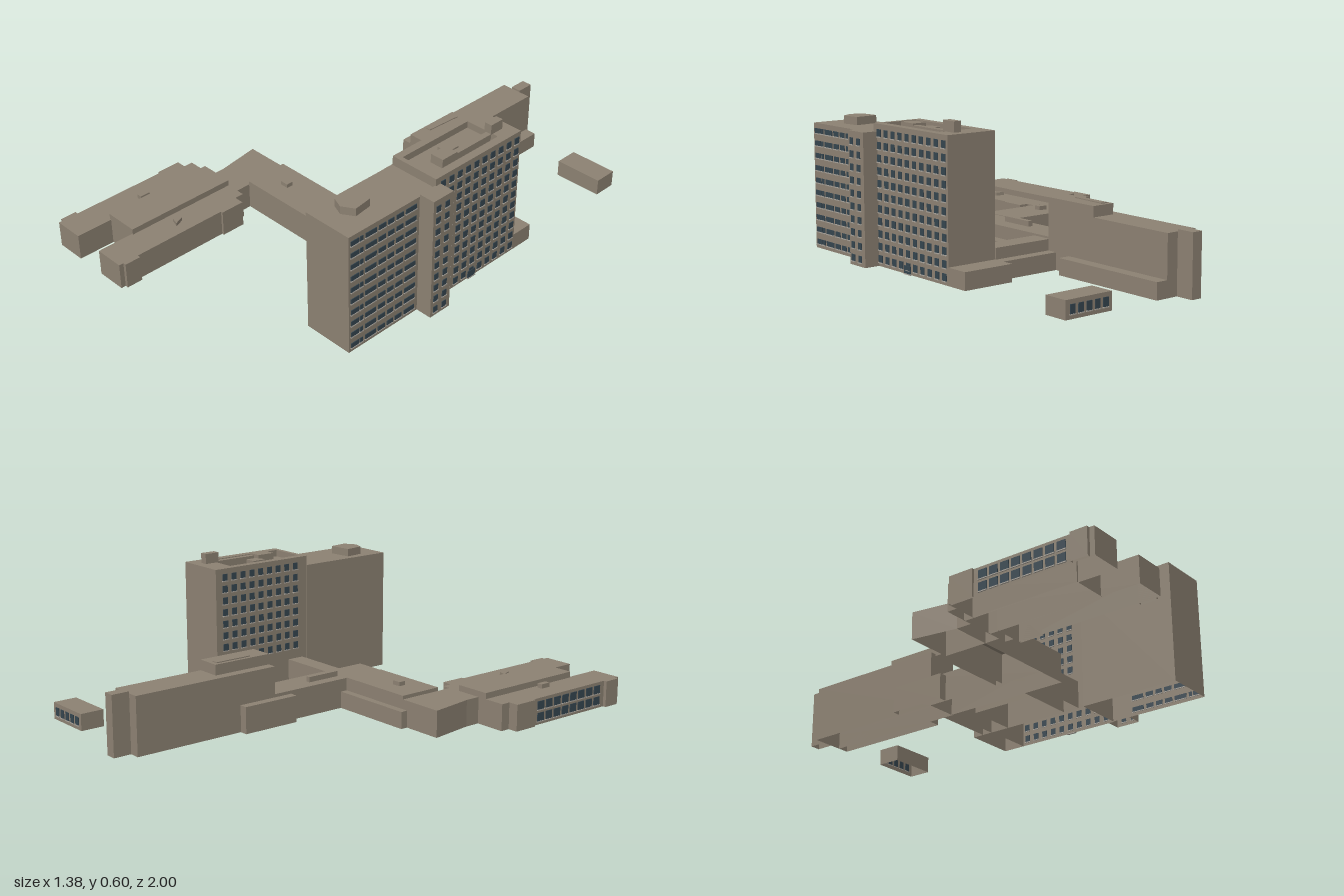
import * as THREE from 'three';
import { mergeGeometries } from 'three/addons/utils/BufferGeometryUtils.js';

const wallMat = new THREE.MeshStandardMaterial({ color: 0x8c8172, side: THREE.DoubleSide });
const glassMat = new THREE.MeshStandardMaterial({ color: 0x35454f });
const sillMat = new THREE.MeshStandardMaterial({ color: 0xa7a198 });

// Upright block over a ground outline of [x, z] corners, open underneath
function prism(name, pts, y1, y0 = 0, hole = null) {
  const toV = (p) => p.map(([x, z]) => new THREE.Vector2(x, -z));
  const shape = new THREE.Shape(toV(pts));
  if (hole) shape.holes.push(new THREE.Path(toV(hole)));
  const geo = new THREE.ExtrudeGeometry(shape, { depth: y1 - y0, bevelEnabled: false });
  geo.rotateX(-Math.PI / 2);
  geo.translate(0, y0, 0);
  const p = geo.attributes.position;
  const keep = [];
  for (let i = 0; i < p.count; i += 3) {
    const top = Math.max(p.getY(i), p.getY(i + 1), p.getY(i + 2));
    if (top > y0 + 1e-5) keep.push(i, i + 1, i + 2);
  }
  geo.setIndex(keep);
  const mesh = new THREE.Mesh(geo, wallMat);
  mesh.name = name;
  return mesh;
}

const rect = (x0, x1, z0, z1) => [[x0, z0], [x1, z0], [x1, z1], [x0, z1]];
const block = (name, x0, x1, z0, z1, y1, y0 = 0) => prism(name, rect(x0, x1, z0, z1), y1, y0);

// Grid of windows with sills on a wall; axis 'x' lies in a plane x = at, axis 'z' in z = at
function windows(name, axis, at, cols, rows, w, h) {
  const glass = [], sills = [];
  const add = (list, u, y, along, high, out) => {
    const g = axis === 'x' ? new THREE.BoxGeometry(out, high, along) : new THREE.BoxGeometry(along, high, out);
    g.translate(axis === 'x' ? at : u, y, axis === 'x' ? u : at);
    list.push(g);
  };
  for (const y of rows) {
    cols.forEach((u, i) => {
      const width = Array.isArray(w) ? w[i] : w;
      add(glass, u, y, width, h, 0.004);
      add(sills, u, y - h / 2 - 0.002, width + 0.004, 0.004, 0.008);
    });
  }
  const group = new THREE.Group();
  group.name = name;
  const panes = new THREE.Mesh(mergeGeometries(glass), glassMat);
  panes.name = 'panes';
  const ledges = new THREE.Mesh(mergeGeometries(sills), sillMat);
  ledges.name = 'sills';
  group.add(panes, ledges);
  return group;
}

const series = (n, start, step) => Array.from({ length: n }, (_, i) => start + i * step);

function createTowers() {
  const g = new THREE.Group();
  g.name = 'towers';
  g.add(
    block('frontTower', 0.397, 0.615, 0.2, 0.64, 0.52),
    prism('frontTowerPlantRoom', [[0.43, 0.46], [0.53, 0.45], [0.54, 0.53], [0.49, 0.56], [0.44, 0.54]], 0.553, 0.52),
    block('stairTower', 0.615, 0.685, 0.175, 0.28, 0.53),
    block('backTower', 0.4, 0.62, -0.275, 0.2, 0.532),
    prism('backTowerParapet', rect(0.4, 0.62, -0.275, 0.2), 0.56, 0.532, rect(0.432, 0.585, -0.18, 0.18)),
    block('liftHousing', 0.527, 0.56, -0.235, -0.17, 0.602, 0.56),
    block('roofPlant', 0.5, 0.56, 0.02, 0.1, 0.57, 0.532),
    block('roofPlant', 0.47, 0.52, -0.03, 0.03, 0.555, 0.532),
    block('roofDuct', 0.535, 0.56, -0.17, 0.02, 0.563, 0.532),
    block('towerAnnex', 0.4, 0.62, -0.375, -0.275, 0.07),
    // facades
    windows('frontTowerWindows', 'x', 0.616, [0.61, 0.577, 0.53, 0.473, 0.428, 0.383, 0.325],
      series(10, 0.028, 0.0512), [0.04, 0.015, 0.055, 0.035, 0.03, 0.035, 0.055], 0.02),
    windows('stairTowerWindows', 'x', 0.686, [0.255, 0.208], series(10, 0.03, 0.0512), 0.022, 0.026),
    windows('backTowerWindows', 'x', 0.621, series(10, -0.252, 0.046), series(11, 0.03, 0.0495), 0.024, 0.028),
    windows('backTowerRearWindows', 'x', 0.399, series(9, -0.23, 0.046), series(8, 0.177, 0.0495), 0.024, 0.028),
    windows('entrance', 'x', 0.623, [-0.02], [0.018], 0.04, 0.03)
  );
  return g;
}

function createNorthWing() {
  const g = new THREE.Group();
  g.name = 'northWing';
  g.add(
    block('wing', 0, 0.14, -0.925, -0.28, 0.237),
    block('upperStorey', 0.04, 0.14, -0.537, -0.28, 0.28, 0.237),
    prism('skylight', [[0.055, -0.52], [0.085, -0.52], [0.075, -0.36], [0.055, -0.36]], 0.284, 0.28),
    block('endStair', 0.045, 0.09, -1, -0.925, 0.245),
    block('sideAisle', 0.14, 0.19, -0.925, -0.4, 0.067),
    block('sideAnnex', -0.035, 0, -0.45, -0.2, 0.11)
  );
  return g;
}

function createConnectors() {
  const g = new THREE.Group();
  g.name = 'connectors';
  g.add(
    block('spine', 0, 0.135, -0.28, 0.28, 0.123),
    block('spineAisle', 0.135, 0.18, -0.19, 0.1, 0.07),
    block('spineSkylight', 0.045, 0.065, -0.07, 0.08, 0.145, 0.123),
    block('backCorridor', 0.135, 0.4, -0.28, -0.19, 0.115),
    block('backCorridorAisle', 0.14, 0.4, -0.325, -0.28, 0.07),
    block('frontCorridor', 0.135, 0.4, 0.1, 0.175, 0.117),
    block('westWing', -0.345, 0, 0.09, 0.28, 0.125),
    block('westWingAisle', -0.37, 0, 0.06, 0.09, 0.07),
    block('roofVent', -0.235, -0.198, 0.17, 0.2, 0.142, 0.125),
    prism('link', [[-0.54, 0.09], [-0.345, 0.09], [-0.345, 0.28], [-0.51, 0.28]], 0.11),
    block('linkNeck', -0.51, -0.345, 0.28, 0.345, 0.11)
  );
  return g;
}

function createHall() {
  const g = new THREE.Group();
  g.name = 'hall';
  const mid = -0.475;
  g.add(
    block('hallCentre', -0.55, -0.4, 0.345, 0.84, 0.135),
    block('roofVent', -0.59, -0.567, 0.625, 0.67, 0.128, 0.11),
    prism('roofVent', [[-0.375, 0.63], [-0.34, 0.64], [-0.325, 0.68], [-0.36, 0.67]], 0.124, 0.11)
  );
  // mirrored side arms with projecting bays
  for (const s of [-1, 1]) {
    const span = (name, a, b, z0, z1, h) => block(name, Math.min(mid + s * a, mid + s * b),
      Math.max(mid + s * a, mid + s * b), z0, z1, h);
    g.add(
      span('arm', 0.068, 0.198, 0.385, 1, 0.11),
      span('armBack', 0.068, 0.165, 0.345, 0.385, 0.11),
      span('backBay', 0.198, 0.208, 0.385, 0.49, 0.11),
      span('frontBay', 0.198, 0.212, 0.91, 0.98, 0.11)
    );
  }
  g.add(windows('hallWindows', 'x', -0.674, series(8, 0.53, 0.048), [0.032, 0.08], 0.036, 0.034));
  return g;
}

function createOutbuilding() {
  const g = new THREE.Group();
  g.name = 'outbuilding';
  g.add(
    block('body', 0.408, 0.62, -0.925, -0.823, 0.07),
    windows('rearWindows', 'z', -0.926, series(5, 0.437, 0.038), [0.036], 0.024, 0.034)
  );
  return g;
}

export function createModel() {
  const model = new THREE.Group();
  model.name = 'buildingComplex';
  model.add(createTowers(), createNorthWing(), createConnectors(), createHall(), createOutbuilding());
  return model;
}
